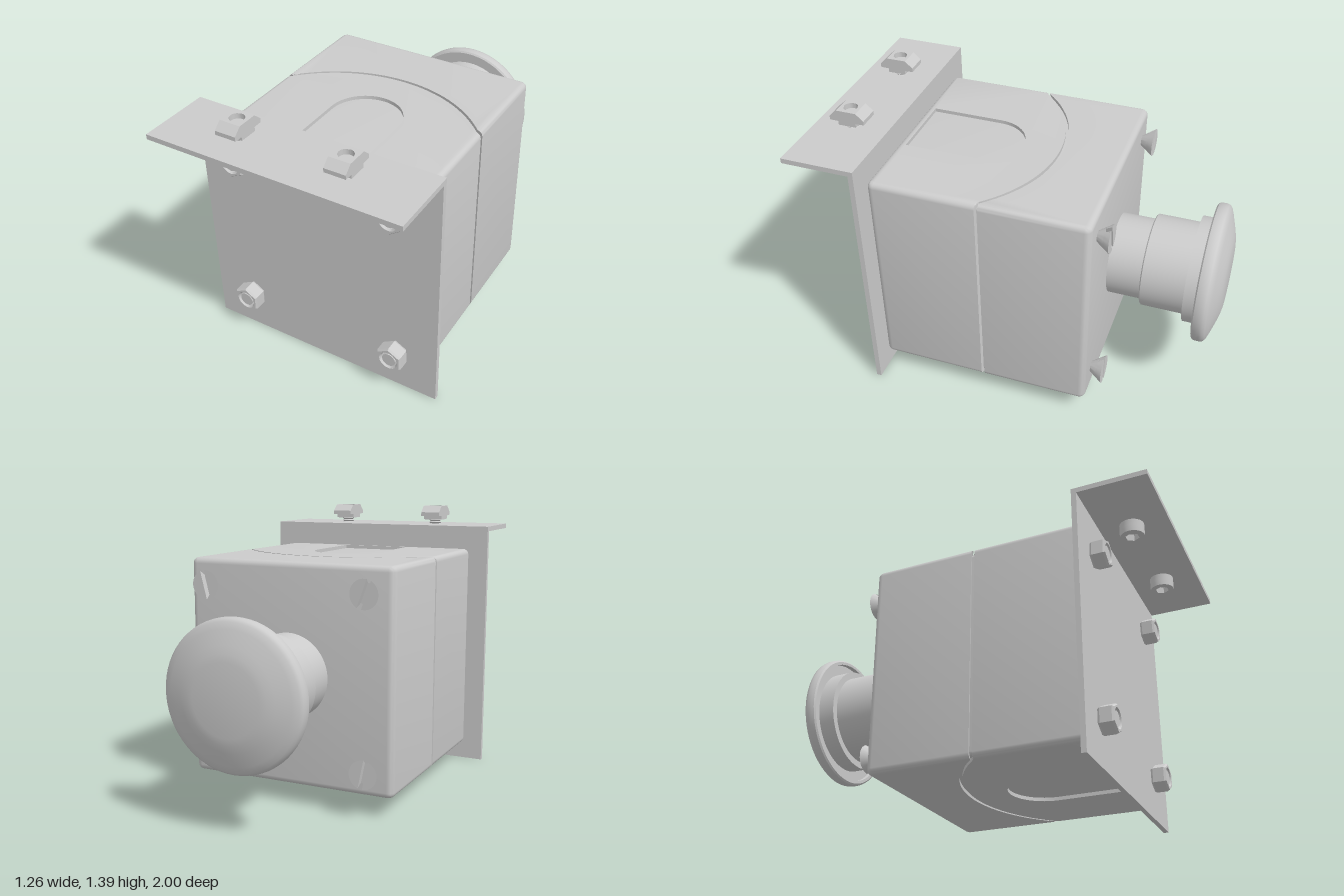
import * as THREE from 'three';
import { toCreasedNormals } from 'three/addons/utils/BufferGeometryUtils.js';
import { RoundedBoxGeometry } from 'three/addons/geometries/RoundedBoxGeometry.js';

const mat = new THREE.MeshStandardMaterial({ color: 0xcccccc, side: THREE.DoubleSide });
const V2 = (x, y) => new THREE.Vector2(x, y);
const HW = 0.535, BACK = -0.435, FRONT = 0.64, TOP = 1.17, BOTTOM = 0.095, CY = 0.633;
const BEVEL = 0.028, CORNER = 0.033, GAP = 0.008, INSET = 0.018;

function add(parent, name, geo, x = 0, y = 0, z = 0, crease = 0.6) {
  const mesh = new THREE.Mesh(toCreasedNormals(geo, crease), mat);
  mesh.name = name;
  mesh.position.set(x, y, z);
  parent.add(mesh);
  return mesh;
}

// change every vertex by a rule
function reshape(geo, rule) {
  const p = geo.attributes.position, v = new THREE.Vector3();
  for (let i = 0; i < p.count; i++) {
    v.fromBufferAttribute(p, i);
    rule(v);
    p.setXYZ(i, v.x, v.y, v.z);
  }
  return geo;
}

function polygon(radius, sides, turn = 0) {
  return Array.from({ length: sides }, (_, i) => {
    const a = turn + (i / sides) * Math.PI * 2;
    return V2(radius * Math.cos(a), radius * Math.sin(a));
  });
}

function holed(outline, hole) {
  const shape = new THREE.Shape(outline);
  shape.holes.push(new THREE.Path(hole));
  return shape;
}

// arched parting line between the two halves of the housing
function seam(x) {
  const R = 0.681, a = Math.min(Math.abs(x), 0.51);
  return -0.13 + R - Math.sqrt(R * R - a * a);
}

// one half of the housing: side = 1 towards the plate, -1 towards the button
function housingHalf(side) {
  const pts = [];
  for (let i = 0; i <= 32; i++) {
    const x = -HW + (2 * HW * i) / 32;
    pts.push(V2(x, seam(x) + side * GAP));
  }
  const end = side > 0 ? FRONT : BACK;
  for (const sx of [1, -1]) {
    for (let k = 0; k <= 5; k++) {
      const a = ((sx > 0 ? k : 5 - k) / 5) * Math.PI / 2;
      pts.push(V2(sx * (HW - CORNER + CORNER * Math.cos(a)),
        end - side * CORNER * (1 - Math.sin(a))));
    }
  }
  const shape = new THREE.Shape(pts);
  const r = 0.18, cz = 0.24, endZ = 0.6;
  if (side > 0) {
    // arched window, closed behind by the inner core
    const q = r - BEVEL, arch = [V2(q, endZ - BEVEL)];
    for (let k = 0; k <= 24; k++) {
      const a = (k / 24) * Math.PI;
      arch.push(V2(q * Math.cos(a), cz - q * Math.sin(a)));
    }
    arch.push(V2(-q, endZ - BEVEL));
    shape.holes.push(new THREE.Path(arch));
  }
  const geo = new THREE.ExtrudeGeometry(shape, {
    depth: TOP - BOTTOM - 2 * BEVEL, bevelThickness: BEVEL, bevelSize: BEVEL,
    bevelOffset: -BEVEL, bevelSegments: 5,
  });
  geo.rotateX(Math.PI / 2);
  geo.translate(0, TOP - BEVEL, 0);
  // keep the seam and the window walls upright instead of bevelled
  return reshape(geo, (v) => {
    if (Math.abs(v.z - seam(v.x)) < 0.05) v.z = seam(v.x) + side * GAP;
    else if (side > 0 && Math.abs(v.x) < 0.25) {
      if (v.z <= cz + 0.005) {
        const k = r / Math.hypot(v.x, v.z - cz);
        v.x *= k;
        v.z = cz + (v.z - cz) * k;
      } else {
        v.x = Math.sign(v.x) * r;
        v.z = endZ;
      }
    }
  });
}

// countersunk screw with a slotted head, pointing to -z
function slottedScrew() {
  const g = new THREE.Group();
  g.name = 'housingScrew';
  const lower = new THREE.CylinderGeometry(0.05, 0.026, 0.035, 28).rotateX(-Math.PI / 2);
  add(g, 'screwCone', lower, 0, 0, -0.0175);
  for (const s of [1, -1]) {
    const half = new THREE.CylinderGeometry(0.07, 0.05, 0.03, 28).rotateX(-Math.PI / 2);
    reshape(half, (v) => { v.x = s * Math.max(s * v.x, 0.011); });
    add(g, 'screwHeadHalf', half, 0, 0, -0.05);
  }
  return g;
}

// hexagon nut with the end of its bolt, pointing to +z
function hexNut() {
  const g = new THREE.Group();
  g.name = 'plateNut';
  const geo = new THREE.ExtrudeGeometry(holed(polygon(0.072, 6), polygon(0.042, 28)), {
    depth: 0.055, bevelThickness: 0.01, bevelSize: 0.006, bevelOffset: -0.006, bevelSegments: 1,
  });
  add(g, 'nutBody', geo, 0, 0, 0.01, 0.4);
  add(g, 'boltEnd', new THREE.CylinderGeometry(0.035, 0.035, 0.07, 28).rotateX(Math.PI / 2), 0, 0, 0.035);
  return g;
}

// socket screw through the flange with a sliding rail nut on top
function railFastener() {
  const g = new THREE.Group();
  g.name = 'railFastener';
  const cup = new THREE.ExtrudeGeometry(holed(polygon(0.06, 32), polygon(0.034, 6)),
    { depth: 0.035, bevelEnabled: false }).rotateX(Math.PI / 2);
  add(g, 'socketHeadRim', cup, 0, 1.235, 0);
  add(g, 'socketHead', new THREE.CylinderGeometry(0.06, 0.06, 0.03, 32), 0, 1.25, 0);

  const thread = [V2(0, 1.26)];
  for (let i = 0; i <= 16; i++) thread.push(V2(i % 2 ? 0.027 : 0.034, 1.26 + i * 0.0065));
  thread.push(V2(0, 1.364));
  add(g, 'threadedShank', new THREE.LatheGeometry(thread, 28));

  const levels = [[1.315, 0.045], [1.335, 0.045], [1.336, 0.0875], [1.356, 0.0875], [1.39, 0.05]];
  const rect = [V2(-0.0525, -0.1), V2(0.0525, -0.1), V2(0.0525, 0.1), V2(-0.0525, 0.1)];
  const nut = new THREE.ExtrudeGeometry(holed(rect, polygon(0.035, 28)),
    { depth: 4, steps: 4, bevelEnabled: false }).rotateX(-Math.PI / 2);
  reshape(nut, (v) => {
    const [y, w] = levels[Math.round(v.y)];
    v.y = y;
    if (Math.abs(v.z) > 0.09) v.z = Math.sign(v.z) * w;
  });
  add(g, 'railNut', nut, 0, 0, 0, 0.4);
  return g;
}

export function createModel() {
  const model = new THREE.Group();
  model.name = 'emergencyStopBox';

  // angled mounting plate
  const profile = new THREE.Shape([V2(0.64, 0), V2(0.665, 0), V2(0.665, 1.265),
    V2(1, 1.265), V2(1, 1.29), V2(0.64, 1.29)]);
  const plate = new THREE.ExtrudeGeometry(profile, { depth: 1.26, bevelEnabled: false });
  add(model, 'mountingBracket', plate.rotateY(-Math.PI / 2), 0.63, 0, 0);

  // housing halves around an inner core that closes seam and windows
  add(model, 'housingBase', housingHalf(1));
  add(model, 'housingCover', housingHalf(-1));
  const core = new RoundedBoxGeometry(2 * (HW - INSET), TOP - BOTTOM - 2 * INSET,
    FRONT - BACK - 2 * INSET, 3, 0.02);
  add(model, 'housingCore', core, 0, (TOP + BOTTOM) / 2, (FRONT + BACK) / 2);

  // mushroom push button: [radius, distance behind the centre]
  const button = [[0.204, 0.42], [0.204, 0.605], [0.226, 0.605], [0.232, 0.611], [0.232, 0.825],
    [0.266, 0.825], [0.266, 0.91], [0.32, 0.91], [0.32, 0.885], [0.335, 0.885], [0.343, 0.892],
    [0.346, 0.905], [0.346, 0.925], [0.342, 0.94], [0.33, 0.951], [0.3, 0.963], [0.235, 0.984],
    [0.2, 0.994], [0.165, 1], [0, 1]].map(([r, d]) => V2(r, d));
  add(model, 'pushButton', new THREE.LatheGeometry(button, 64).rotateX(-Math.PI / 2), 0, CY, 0);

  // screws in the cover and nuts on the plate, one pair per corner
  [[-1, 1], [1, 1], [-1, -1], [1, -1]].forEach(([sx, sy], i) => {
    const x = sx * 0.413, y = CY + sy * 0.415;
    const screw = slottedScrew();
    screw.position.set(x, y, BACK);
    screw.rotation.z = [0.35, -0.25, 0.2, 0.1][i];
    const nut = hexNut();
    nut.position.set(x, y, 0.665);
    nut.rotation.z = [0.45, 0.6, 0.5, 0.55][i];
    model.add(screw, nut);
  });

  for (const sx of [-1, 1]) {
    const fastener = railFastener();
    fastener.position.set(sx * 0.27, 0, 0.82);
    model.add(fastener);
  }
  return model;
}
